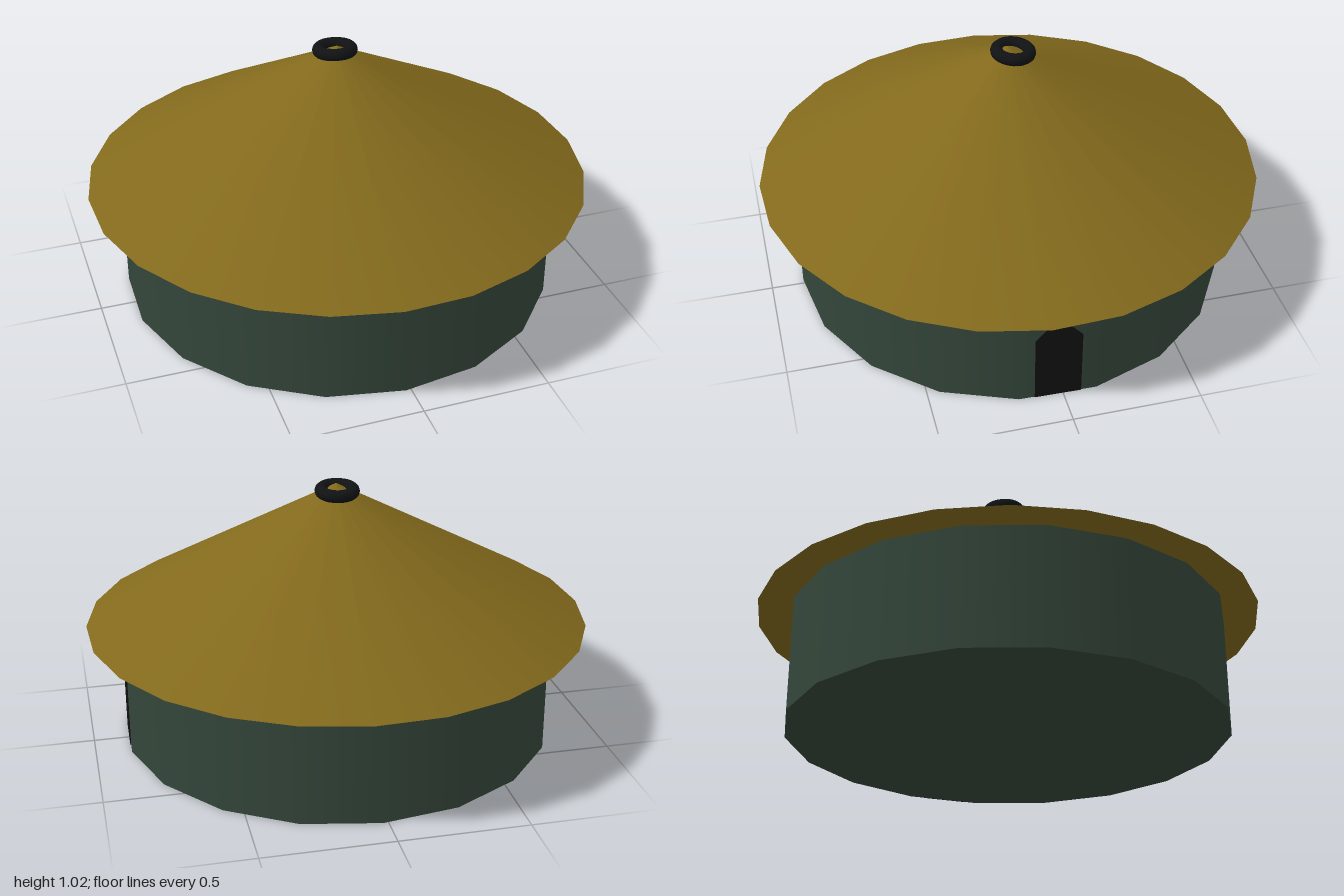
import * as THREE from 'three';

const DEG = Math.PI / 180;

function part(name, geometry, color) {
  const mesh = new THREE.Mesh(geometry, new THREE.MeshStandardMaterial({ color }));
  mesh.name = name;
  return mesh;
}

export function createModel() {
  const hut = new THREE.Group();
  hut.name = 'roundHut';
  const eaves = 0.465, peak = 1.018, wallRadius = 0.87, wallSides = 18;
  const turn = -1.3 * DEG;

  // Round wall, closed underneath
  const wall = part('wall', new THREE.CylinderGeometry(wallRadius, wallRadius, eaves, wallSides), 0x34463a);
  wall.position.y = eaves / 2;
  wall.rotation.y = turn;
  hut.add(wall);

  // Wide conical roof with a flat underside
  const roof = part('roof', new THREE.ConeGeometry(1, peak - eaves, 24), 0x82691c);
  roof.position.y = (peak + eaves) / 2;
  roof.rotation.y = -4.9 * DEG;
  hut.add(roof);

  // Slightly tilted ring around the peak
  const ring = part('peakRing', new THREE.TorusGeometry(0.064, 0.025, 12, 32), 0x101214);
  ring.position.set(0, 0.993, -0.02);
  ring.rotation.x = Math.PI / 2 - 0.08;
  hut.add(ring);

  // Arched door lying on the wall facet that faces the left side (+x)
  const outline = [[-0.09, 0], [0.09, 0], [0.09, 0.285], [0.045, 0.335], [0, 0.35], [-0.045, 0.335], [-0.09, 0.285]];
  const arch = new THREE.Shape(outline.map(([x, y]) => new THREE.Vector2(x, y)));
  const door = part('door', new THREE.ExtrudeGeometry(arch, { depth: 0.008, bevelEnabled: false }), 0x111111);
  const angle = 90 * DEG + turn;
  const facet = wallRadius * Math.cos(Math.PI / wallSides) - 0.005;
  door.position.set(Math.sin(angle) * facet, 0, Math.cos(angle) * facet);
  door.rotation.y = angle;
  hut.add(door);

  return hut;
}
